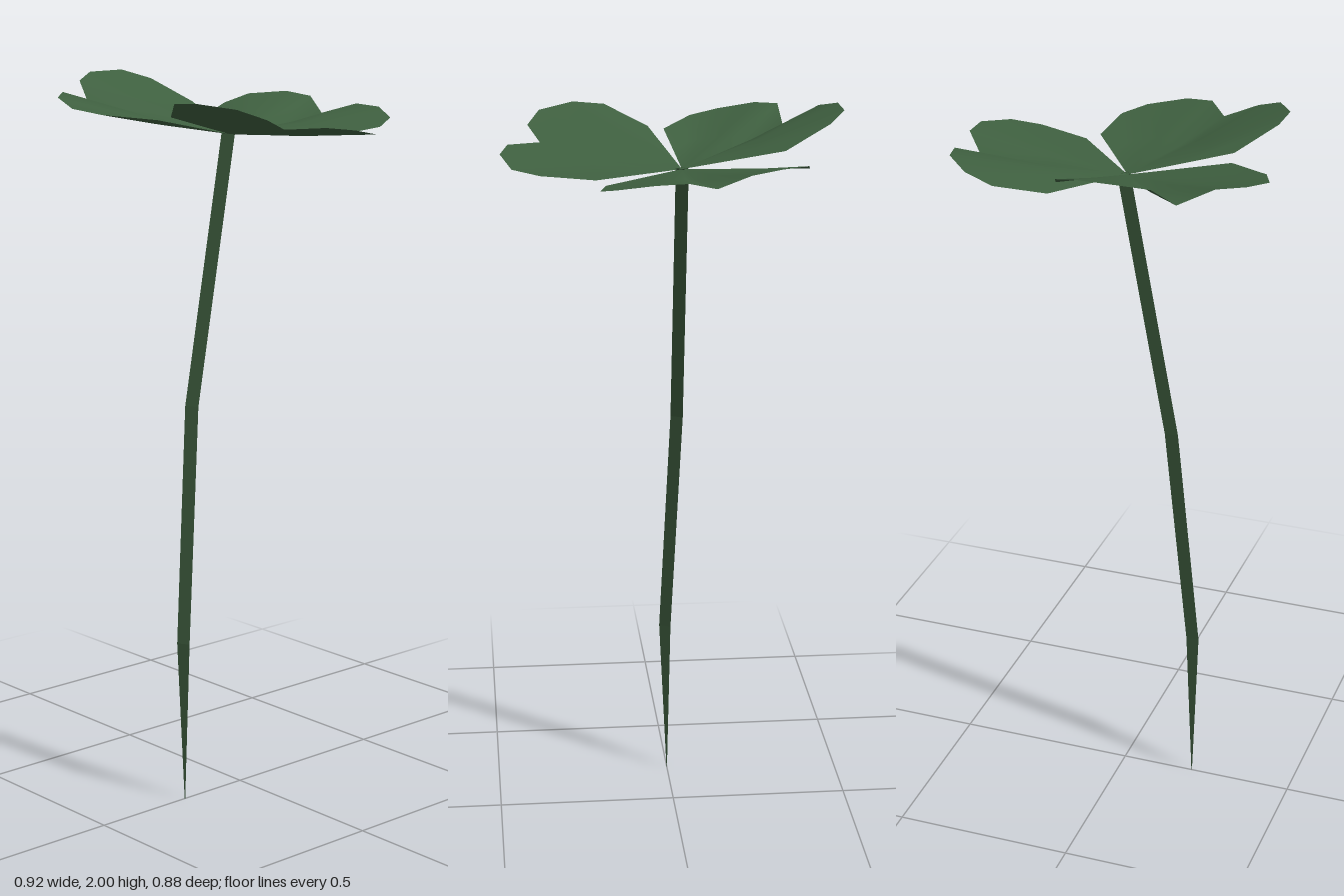
import * as THREE from 'three';

const HUB = new THREE.Vector3(-0.025, 1.852, 0.015);

// Rim of each heart-shaped leaflet, clockwise from above: [x, y, z]
const LEAFLETS = {
  backLeaflet: [
    [-0.275, 1.875, -0.112], [-0.332, 1.9, -0.238], [-0.318, 1.922, -0.318], [-0.24, 1.93, -0.393],
    [-0.16, 1.92, -0.413], [-0.077, 1.88, -0.378], [0, 1.908, -0.439], [0.085, 1.905, -0.442],
    [0.18, 1.885, -0.393], [0.215, 1.867, -0.318], [0.192, 1.852, -0.18],
  ],
  leftLeaflet: [
    [0.215, 1.86, -0.148], [0.36, 1.872, -0.138], [0.432, 1.88, -0.088], [0.46, 1.9, 0.018],
    [0.437, 1.91, 0.098], [0.348, 1.903, 0.16], [0.378, 1.935, 0.247], [0.343, 1.963, 0.318],
    [0.247, 1.975, 0.373], [0.16, 1.968, 0.367], [0.045, 1.92, 0.282],
  ],
  rightLeaflet: [
    [0, 1.91, 0.29], [-0.085, 1.925, 0.408], [-0.167, 1.937, 0.44], [-0.268, 1.958, 0.41],
    [-0.325, 1.965, 0.348], [-0.33, 1.912, 0.25], [-0.422, 1.982, 0.215], [-0.463, 2, 0.145],
    [-0.463, 2, 0.032], [-0.415, 1.975, -0.035], [-0.29, 1.915, -0.083],
  ],
};

// Stem centre line from root tip to hub: [x, y, z, radius]
const STEM = [
  [0, 0, 0.208, 0.001], [0.001, 0.46, 0.207, 0.021],
  [-0.028, 1.12, 0.147, 0.022], [-0.03, 1.855, 0.011, 0.022],
];

function meshFrom(name, positions, indices, material) {
  const geometry = new THREE.BufferGeometry();
  geometry.setAttribute('position', new THREE.Float32BufferAttribute(positions, 3));
  geometry.setIndex(indices);
  geometry.computeVertexNormals();
  const mesh = new THREE.Mesh(geometry, material);
  mesh.name = name;
  return mesh;
}

// Blade: a fan around the hub with a slightly sagging middle row
function leaflet(name, rim, material) {
  const positions = [...HUB.toArray()];
  const indices = [];
  const n = rim.length;
  for (const [t, sag] of [[0.5, 0.008], [1, 0]]) {
    rim.forEach((point, i) => {
      const v = HUB.clone().lerp(new THREE.Vector3(...point), t);
      v.y -= sag * Math.sin(Math.PI * i / (n - 1));
      positions.push(...v.toArray());
    });
  }
  for (let i = 1; i < n; i++) {
    const a = i, b = i + 1, c = a + n, d = b + n;
    indices.push(0, b, a, a, b, c, b, d, c);
  }
  return meshFrom(name, positions, indices, material);
}

// Three-sided stem tapering to a pointed root
function stem(material) {
  const positions = [];
  const indices = [];
  STEM.forEach(([x, y, z, r], row) => {
    for (let k = 0; k < 3; k++) {
      const angle = k * Math.PI * 2 / 3;
      positions.push(x + r * Math.cos(angle), y, z + r * Math.sin(angle));
      if (row === STEM.length - 1) continue;
      const a = row * 3 + k, b = row * 3 + (k + 1) % 3;
      indices.push(a, a + 3, b, b, a + 3, b + 3);
    }
  });
  return meshFrom('stem', positions, indices, material);
}

export function createModel() {
  const group = new THREE.Group();
  group.name = 'clover';
  const leafMaterial = new THREE.MeshStandardMaterial({ color: 0x3f6040, side: THREE.DoubleSide });
  const stemMaterial = new THREE.MeshStandardMaterial({
    color: 0x3a573a, flatShading: true, side: THREE.DoubleSide,
  });
  for (const [name, rim] of Object.entries(LEAFLETS)) group.add(leaflet(name, rim, leafMaterial));
  group.add(stem(stemMaterial));
  return group;
}
